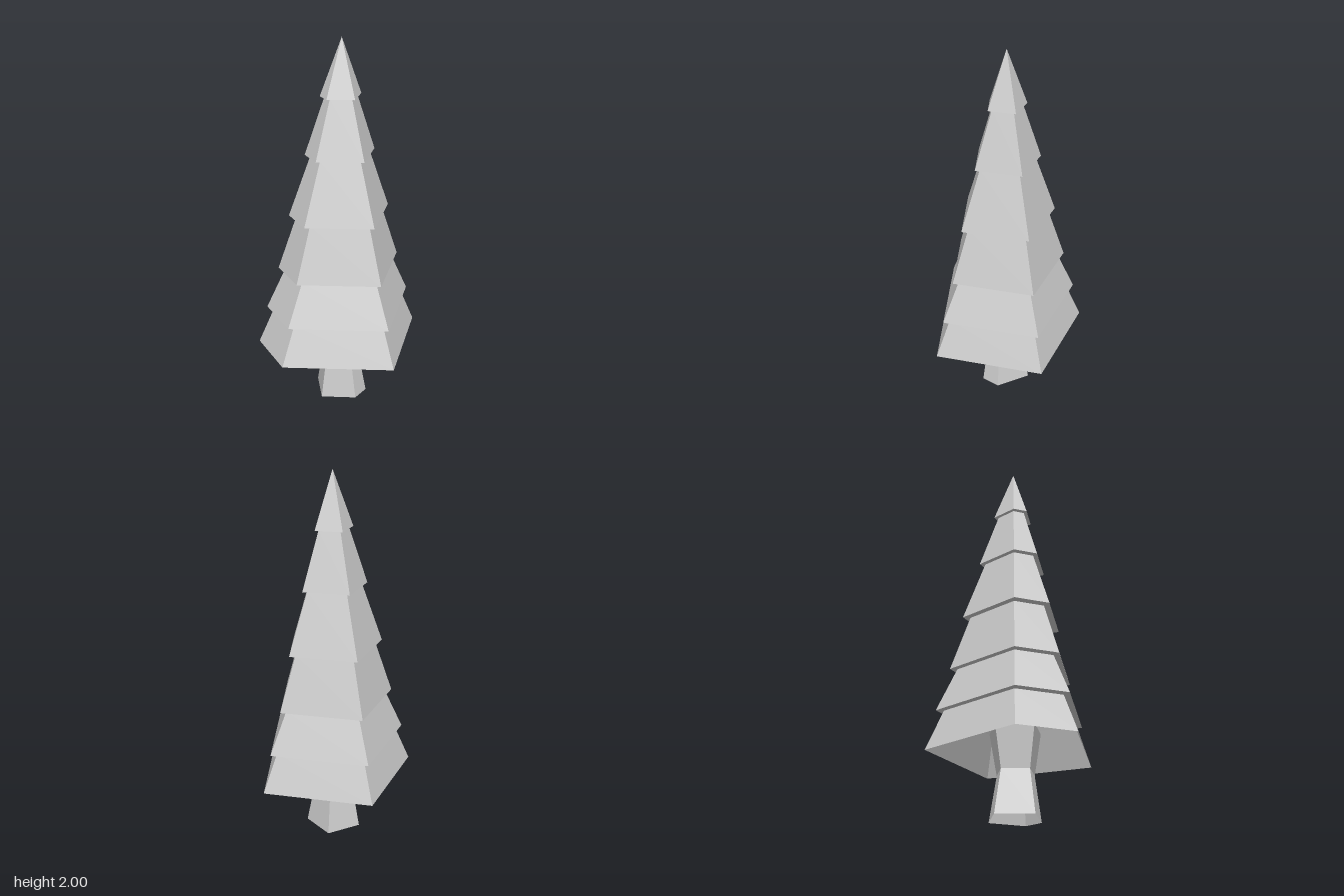
import * as THREE from 'three';

const material = new THREE.MeshStandardMaterial({ color: 0xcccccc, flatShading: true, side: THREE.DoubleSide });

// Open shell through scaled copies of one outline; each ring is { y, s, x, z }
function loft(name, outline, rings) {
  const n = outline.length, positions = [], index = [];
  for (const { y, s, x = 0, z = 0 } of rings)
    for (const [px, pz] of outline) positions.push(x + px * s, y, z + pz * s);
  for (let r = 0; r < rings.length - 1; r++) {
    for (let i = 0; i < n; i++) {
      const a = r * n + i, b = r * n + (i + 1) % n;
      if (rings[r].s > 0) index.push(a, a + n, b);
      if (rings[r + 1].s > 0) index.push(b, a + n, b + n);
    }
  }
  const geometry = new THREE.BufferGeometry();
  geometry.setAttribute('position', new THREE.Float32BufferAttribute(positions, 3));
  geometry.setIndex(index);
  geometry.computeVertexNormals();
  const mesh = new THREE.Mesh(geometry, material);
  mesh.name = name;
  return mesh;
}

export function createModel() {
  const tree = new THREE.Group();
  tree.name = 'pineTree';

  // Outlines run from +x towards -z, so faces point outwards
  const crownOutline = [[0.442, 0], [0.065, -0.448], [-0.445, -0.158], [-0.445, 0.156], [0.063, 0.446]];
  const trunkOutline = [[0.125, 0.09], [0.125, -0.105], [-0.065, -0.14], [-0.13, 0.045], [0.033, 0.14]];

  // Five-sided trunk with a narrow waist, its top hidden in the crown
  tree.add(loft('trunk', trunkOutline, [
    { y: 0, s: 1, x: -0.035 },
    { y: 0.23, s: 0.725, x: -0.035 },
    { y: 0.455, s: 1, x: -0.035 },
  ]));

  // Branch tiers: bottom height, rim scale, top scale
  const tiers = [
    [0.33, 1, 0.8], [0.54, 0.893, 0.66], [0.77, 0.746, 0.52],
    [1.07, 0.61, 0.35], [1.4, 0.418, 0.19], [1.705, 0.243, 0],
  ];
  const branches = new THREE.Group();
  branches.name = 'branches';
  tiers.forEach(([y, rim, top], i) => {
    const topY = i < 5 ? tiers[i + 1][0] : 2;
    // The axis leans slightly towards the tip
    const ring = (h, s) => ({ y: h, s, x: -0.008 * (1 - s), z: -0.012 * (1 - s) });
    const rings = [ring(y, rim), ring(topY, top)];
    // Underside ledge reaching in to the tier below
    if (i > 0) rings.unshift(ring(y, tiers[i - 1][2]));
    branches.add(loft('branchTier' + (i + 1), crownOutline, rings));
  });
  tree.add(branches);
  return tree;
}
